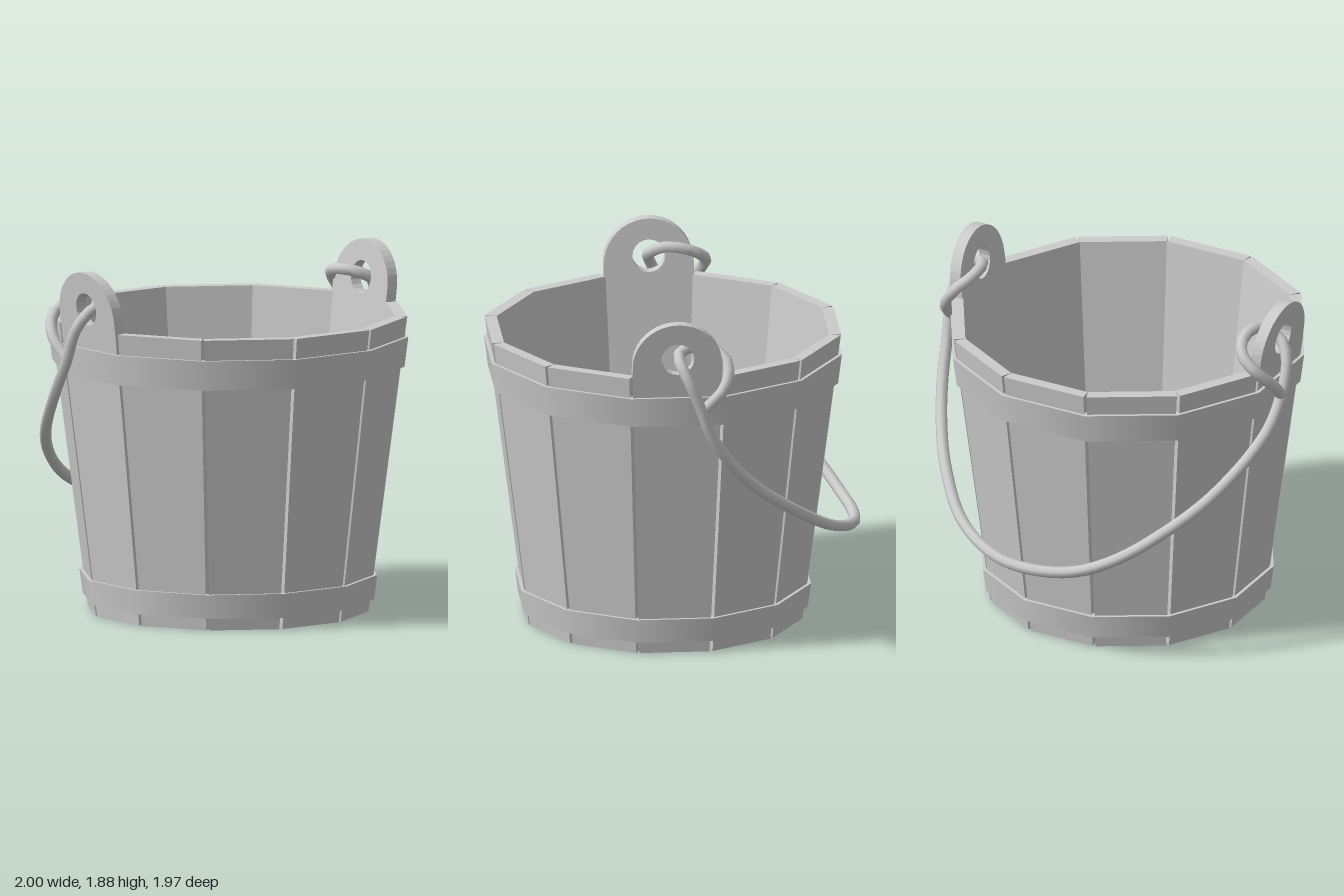
import * as THREE from 'three';
import { mergeGeometries } from 'three/addons/utils/BufferGeometryUtils.js';

const SIDES = 12, HALF = Math.PI / SIDES;
const HEIGHT = 1.58, WALL = 0.065, GAP = 0.009;
const CX = -0.03, CZ = 0.03;

// corner radius of the tapered bucket at height y
const radius = (y) => 0.75 + (0.205 * y) / HEIGHT;
const mat = () => new THREE.MeshStandardMaterial({ color: 0xcccccc });

function mesh(name, geometry) {
  const m = new THREE.Mesh(geometry, mat());
  m.name = name;
  return m;
}

// moves every vertex of a geometry by a rule
function warp(geometry, rule) {
  const p = geometry.attributes.position, v = new THREE.Vector3();
  for (let i = 0; i < p.count; i++) {
    rule(v.fromBufferAttribute(p, i));
    p.setXYZ(i, v.x, v.y, v.z);
  }
  geometry.computeVertexNormals();
  return geometry;
}

// leaning plank, with outer corners trimmed to leave a groove
function staveGeometry() {
  return warp(new THREE.BoxGeometry(2, HEIGHT, 1), (v) => {
    const outer = v.z > 0;
    v.y += HEIGHT / 2;
    const r = radius(v.y) - (outer ? 0 : WALL);
    v.x *= r * Math.sin(HALF) - (outer ? GAP : 0);
    v.z = r * Math.cos(HALF);
  });
}

// rounded lug with a hole, following the lean of its stave
function earGeometry() {
  const w = 0.238, cy = 1.645;
  const shape = new THREE.Shape();
  shape.moveTo(-w, HEIGHT);
  shape.lineTo(w, HEIGHT);
  shape.lineTo(w, cy);
  shape.absarc(0, cy, w, 0, Math.PI, false);
  shape.closePath();
  const hole = new THREE.Path();
  hole.absarc(0, 1.685, 0.087, 0, Math.PI * 2, true);
  shape.holes.push(hole);
  const depth = WALL * Math.cos(HALF);
  const g = new THREE.ExtrudeGeometry(shape, { depth, bevelEnabled: false, curveSegments: 10 });
  return warp(g, (v) => { v.z += radius(v.y) * Math.cos(HALF) - depth; });
}

// hoop: smooth faces with sharp edges, one strip per side of its section
function bandGeometry(y0, y1, thick) {
  const at = (y, d) => new THREE.Vector2(radius(y) + d, y);
  const pts = [at(y0, -0.03), at(y0, thick), at(y1, thick), at(y1, -0.03)];
  return mergeGeometries([0, 1, 2].map((i) => new THREE.LatheGeometry([pts[i], pts[i + 1]], SIDES)));
}

export function createModel() {
  const model = new THREE.Group();
  model.name = 'bucket';
  const body = new THREE.Group();
  body.name = 'body';
  body.position.set(CX, 0, CZ);
  model.add(body);

  // staves, two of which carry an ear
  const stave = staveGeometry(), ear = earGeometry();
  for (let k = 0; k < SIDES; k++) {
    const plank = mesh('stave', stave);
    plank.rotation.y = (2 * k + 1) * HALF;
    body.add(plank);
    if (k === 2 || k === 8) {
      const lug = mesh(k === 2 ? 'leftEar' : 'rightEar', ear);
      lug.rotation.y = plank.rotation.y;
      body.add(lug);
    }
  }

  // hoops
  body.add(mesh('upperBand', bandGeometry(1.31, 1.47, 0.018)));
  body.add(mesh('lowerBand', bandGeometry(0.065, 0.195, 0.018)));

  // floor board
  const floor = mesh('floor', new THREE.CylinderGeometry(0.7, 0.7, 0.035, SIDES));
  floor.position.y = 0.03;
  body.add(floor);

  // wire handle hanging at the back, curled through each ear
  const path = [
    // left curl, from its tip around the ear edge and through the hole
    [0.955, 1.42, 0.15], [0.96, 1.53, 0.04], [0.9, 1.64, 0.0], [0.82, 1.7, 0.05],
    [0.79, 1.72, 0.17], [0.83, 1.7, 0.25], [0.89, 1.67, 0.265], [0.945, 1.59, 0.24],
    // bow
    [0.965, 1.44, 0.18], [0.97, 1.28, 0.12], [0.965, 1.1, 0.0], [0.935, 0.95, -0.15],
    [0.86, 0.79, -0.37], [0.7, 0.62, -0.65], [0.46, 0.54, -0.86], [0.22, 0.53, -0.94],
    [0, 0.56, -0.955], [-0.2, 0.64, -0.93], [-0.4, 0.76, -0.865], [-0.66, 0.95, -0.7],
    [-0.89, 1.22, -0.45], [-0.95, 1.4, -0.33],
    // right curl
    [-0.965, 1.57, -0.26], [-0.93, 1.66, -0.21], [-0.87, 1.7, -0.19], [-0.8, 1.75, -0.25],
    [-0.755, 1.74, -0.36], [-0.77, 1.69, -0.46], [-0.85, 1.62, -0.5], [-0.93, 1.52, -0.44],
    [-0.95, 1.42, -0.34],
  ].map((p) => new THREE.Vector3(...p));
  const curve = new THREE.CatmullRomCurve3(path, false, 'centripetal');
  model.add(mesh('handle', new THREE.TubeGeometry(curve, 90, 0.031, 8)));

  return model;
}
